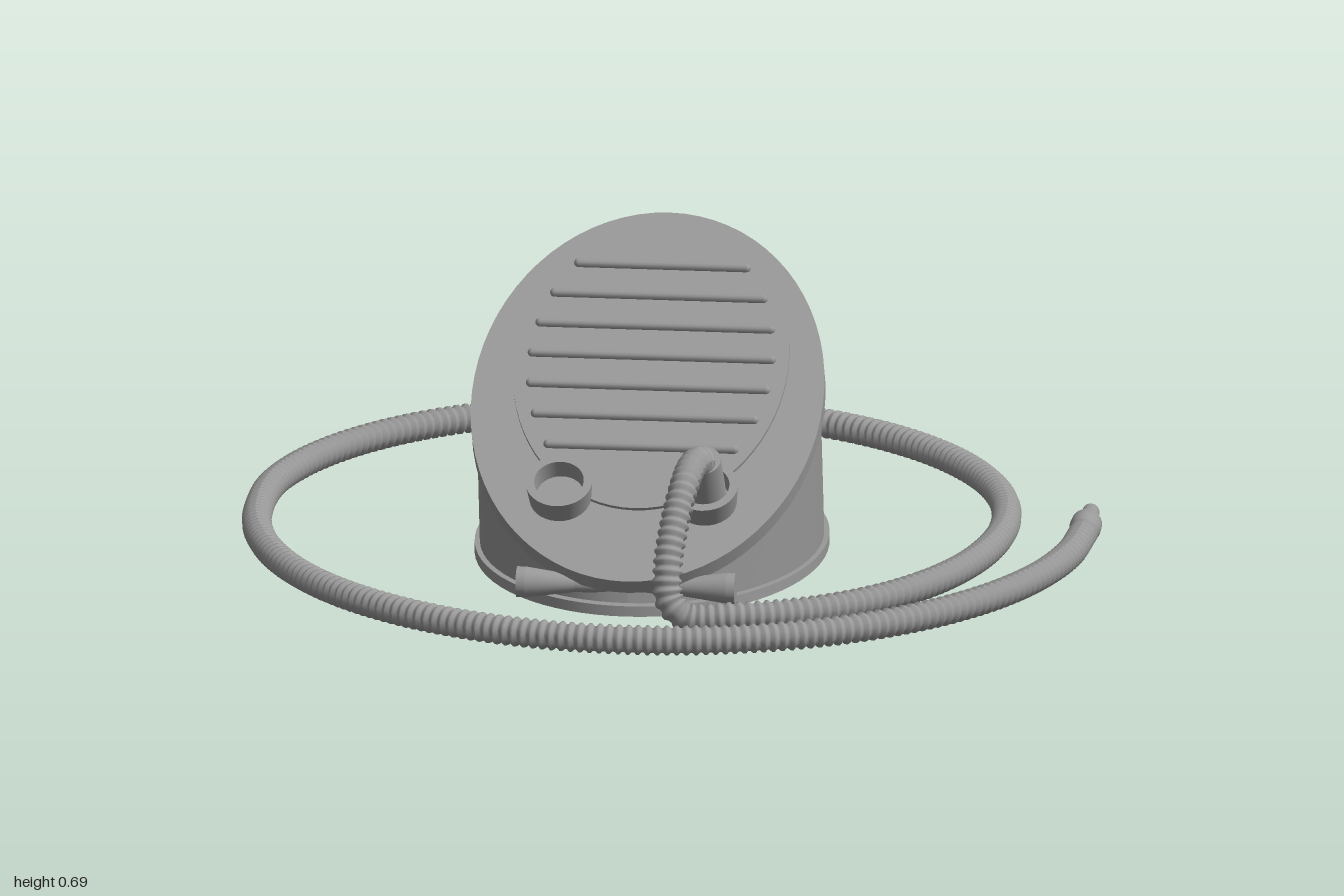
import * as THREE from 'three';

export function createModel() {
  const grey = new THREE.MeshStandardMaterial({ color: 0x999999 });
  grey.name = 'grey plastic';
  const model = new THREE.Group();
  model.name = 'footPump';

  const add = (parent, name, geometry, x = 0, y = 0, z = 0) => {
    const mesh = new THREE.Mesh(geometry, grey);
    mesh.name = name;
    mesh.position.set(x, y, z);
    parent.add(mesh);
    return mesh;
  };
  // Elliptical disc standing on its local y = 0
  const disc = (rx, rz, h) =>
    new THREE.CylinderGeometry(1, 1, h, 72).scale(rx, 1, rz).translate(0, h / 2, 0);
  // Lathe with hard edges: every profile step is its own band
  const lathe = (parent, name, points, x, y, z) => {
    const group = new THREE.Group();
    group.name = name;
    group.position.set(x, y, z);
    for (let i = 0; i < points.length - 1; i++) {
      const pair = [points[i], points[i + 1]].map(p => new THREE.Vector2(...p));
      add(group, name + 'Band', new THREE.LatheGeometry(pair, 32));
    }
    parent.add(group);
    return group;
  };

  const tilt = 0.565, cos = Math.cos(tilt), sin = Math.sin(tilt);
  const cx = -0.05, lidY = 0.357, lidZ = 0.032, baseZ = -0.045;

  // Base plate
  add(model, 'basePlate', disc(0.41, 0.565, 0.025), cx, 0, baseZ);

  // Bellows body: lofted from the flat base ellipse to the tilted lid ellipse
  const body = new THREE.CylinderGeometry(1, 1, 1, 72, 6, true);
  const pos = body.attributes.position;
  for (let i = 0; i < pos.count; i++) {
    const t = pos.getY(i) + 0.5;
    const ex = pos.getX(i) * 0.398, ez = pos.getZ(i) * 0.54;
    pos.setXYZ(i, ex,
      THREE.MathUtils.lerp(0.02, lidY + 0.005 - ez * sin, t),
      THREE.MathUtils.lerp(baseZ + ez, lidZ + ez * cos, t));
  }
  body.computeVertexNormals();
  add(model, 'bellowsBody', body, cx);

  // Tilted lid with a raised tread pad and grip ribs
  const lid = new THREE.Group();
  lid.name = 'lid';
  lid.position.set(cx, lidY, lidZ);
  lid.rotation.x = tilt;
  model.add(lid);
  add(lid, 'lidPlate', disc(0.41, 0.565, 0.04));
  add(lid, 'treadPad', disc(0.32, 0.445, 0.008), 0, 0.04, -0.098);
  for (let i = 0; i < 7; i++) {
    const s = -0.162 + i * 0.0925;
    const half = 0.29 * Math.sqrt(1 - ((s - 0.098) / 0.42) ** 2);
    const rib = new THREE.CapsuleGeometry(0.011, 2 * half - 0.022, 4, 10).rotateZ(Math.PI / 2);
    add(lid, 'gripRib', rib, 0, 0.052, -s);
  }

  // Two air ports, one fitted with the hose connector
  const cup = [[0.072, 0], [0.078, 0.06], [0.058, 0.06], [0.055, 0.012], [0, 0.012]];
  lathe(lid, 'openPort', cup, -0.175, 0.04, 0.315);
  lathe(lid, 'hosePort', cup, 0.165, 0.04, 0.315);
  lathe(lid, 'hoseConnector', [[0.05, 0], [0.043, 0.14], [0, 0.14]], 0.165, 0.05, 0.315);

  // Front foot bar with flared ends
  const bar = lathe(model, 'footBar', [
    [0, -0.255], [0.036, -0.255], [0.036, -0.235], [0.02, -0.12],
    [0.02, 0.12], [0.036, 0.235], [0.036, 0.255], [0, 0.255],
  ], -0.055, 0.062, 0.472);
  bar.rotation.z = -Math.PI / 2;

  // Hose path: rises from the connector, drops to the ground, coils around the pump
  const hoseY = 0.065;
  const path = [
    [0.115, 0.325, 0.385], [0.112, 0.357, 0.43], [0.1, 0.358, 0.48], [0.09, 0.335, 0.55],
    [0.075, 0.265, 0.625], [0.065, 0.175, 0.685], [0.072, 0.1, 0.71], [0.11, hoseY, 0.715],
  ].map(p => new THREE.Vector3(...p));
  const arc = (x, z, rx, rz, from, to, n) => {
    for (let i = 0; i <= n; i++) {
      const a = THREE.MathUtils.degToRad(from + (to - from) * i / n);
      path.push(new THREE.Vector3(x + rx * Math.cos(a), hoseY, z + rz * Math.sin(a)));
    }
  };
  arc(0.11, -0.075, 0.66, 0.79, 80, 10, 7);
  arc(-0.1, -0.075, 0.87, 0.845, 0, -170, 17);
  arc(-0.005, -0.04, 0.962, 0.952, 180, 0, 18);
  const curve = new THREE.CatmullRomCurve3(path, false, 'centripetal');
  curve.arcLengthDivisions = 3000;

  // Corrugated hose: tube whose rings alternate between ridge and groove
  const rings = 1320, sides = 14;
  const hose = new THREE.TubeGeometry(curve, rings, 0.035, sides);
  const hp = hose.attributes.position, v = new THREE.Vector3();
  for (let i = 0; i <= rings; i++) {
    if (i % 4 < 2) continue;
    const centre = curve.getPointAt(i / rings);
    for (let j = 0; j <= sides; j++) {
      const k = i * (sides + 1) + j;
      v.fromBufferAttribute(hp, k).sub(centre).multiplyScalar(0.83).add(centre);
      hp.setXYZ(k, v.x, v.y, v.z);
    }
  }
  hose.computeVertexNormals();
  add(model, 'hose', hose);

  // Nozzle at the free end of the hose
  const nozzle = lathe(model, 'nozzle', [
    [0, 0], [0.028, 0], [0.037, 0.045], [0.036, 0.075], [0.024, 0.1], [0.02, 0.17], [0.012, 0.17],
    [0.012, 0.13], [0, 0.13],
  ], 0.957, hoseY, -0.04);
  nozzle.rotation.x = -Math.PI / 2;

  return model;
}
